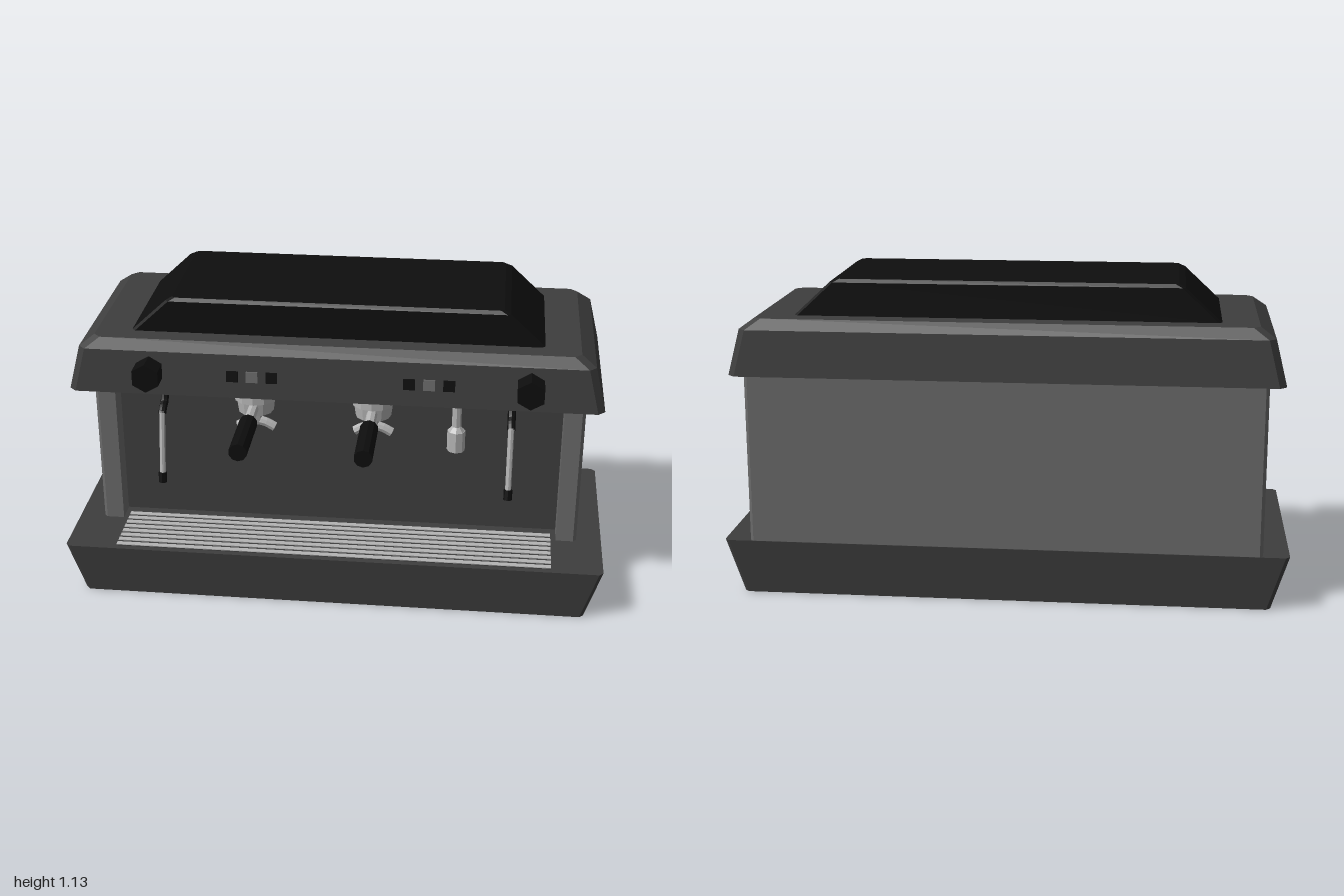
import * as THREE from 'three';

const mat = (name, color) => {
  const m = new THREE.MeshStandardMaterial({ color });
  m.name = name;
  return m;
};

export function createModel() {
  const root = new THREE.Group();
  root.name = 'espressoMachine';
  const shell = mat('darkShell', 0x3e3e3e);
  const steel = mat('bodyGrey', 0x6a6a6a);
  const black = mat('black', 0x0e0e0e);
  const chrome = mat('chrome', 0xb4b4b4);
  for (const m of [shell, steel, black, chrome]) m.flatShading = true;

  const add = (name, geo, material, x = 0, y = 0, z = 0, parent = root) => {
    const mesh = new THREE.Mesh(geo, material);
    mesh.name = name;
    mesh.position.set(x, y, z);
    parent.add(mesh);
    return mesh;
  };

  // Closed solid through chamfered rectangles [y, halfWidth, zBack, zFront]
  const loft = (levels, c) => {
    const rings = levels.map(([y, x, b, f]) => [
      [x, b + c], [x, f - c], [x - c, f], [-x + c, f],
      [-x, f - c], [-x, b + c], [-x + c, b], [x - c, b],
    ].map(([px, pz]) => [px, y, pz]));
    const pos = [];
    const tri = (...pts) => pts.forEach((p) => pos.push(...p));
    for (let l = 0; l < rings.length - 1; l++) {
      for (let i = 0; i < 8; i++) {
        const j = (i + 1) % 8, lo = rings[l], hi = rings[l + 1];
        tri(lo[i], hi[i], hi[j]);
        tri(lo[i], hi[j], lo[j]);
      }
    }
    const bottom = rings[0], top = rings[rings.length - 1];
    for (let i = 1; i < 7; i++) {
      tri(top[0], top[i + 1], top[i]);
      tri(bottom[0], bottom[i], bottom[i + 1]);
    }
    const g = new THREE.BufferGeometry();
    g.setAttribute('position', new THREE.Float32BufferAttribute(pos, 3));
    g.computeVertexNormals();
    return g;
  };

  const cyl = (rTop, rBottom, h, n) => new THREE.CylinderGeometry(rTop, rBottom, h, n);
  const rod = (r, len, n) => cyl(r, r, len, n).rotateX(Math.PI / 2);
  const tube = (pts, r, seg = 8) => new THREE.TubeGeometry(
    new THREE.CatmullRomCurve3(pts.map((p) => new THREE.Vector3(...p))), seg, r, 8);

  // Flared base, hood and lid
  add('base', loft([[0, 0.94, -0.48, 0.3], [0.2, 1, -0.502, 0.322]], 0.015), shell);
  add('hood', loft([
    [0.8, 0.965, -0.502, 0.225],
    [0.962, 0.925, -0.487, 0.21],
    [1, 0.872, -0.465, 0.185],
  ], 0.025), shell);
  add('lid', loft([
    [1, 0.745, -0.392, 0.115],
    [1.118, 0.618, -0.392, 0.115],
    [1.13, 0.595, -0.382, 0.105],
  ], 0.012), black);

  // Body: U-shaped footprint with a recessed working area
  const c = 0.012, W = 0.907, B = 0.5, F = -0.09;
  const plan = new THREE.Shape([
    [-W + c, B], [-W, B - c], [-W, F + c], [-W + c, F], [-0.83, F], [-0.83, 0],
    [0.83, 0], [0.83, F], [W - c, F], [W, F + c], [W, B - c], [W - c, B],
  ].map((p) => new THREE.Vector2(...p)));
  add('body', new THREE.ExtrudeGeometry(plan, { depth: 0.6, bevelEnabled: false })
    .rotateX(-Math.PI / 2), steel, 0, 0.2, 0);
  add('backPanel', new THREE.BoxGeometry(1.66, 0.6, 0.008), shell, 0, 0.5, 0.004);

  // Drip tray with slats
  add('dripTray', new THREE.BoxGeometry(1.62, 0.003, 0.25), shell, 0, 0.2015, 0.175);
  for (let i = 0; i < 8; i++) {
    add('dripSlat', new THREE.BoxGeometry(1.62, 0.006, 0.02), chrome, 0, 0.203, 0.062 + i * 0.0325);
  }

  // Brew groups with portafilters
  for (const x of [-0.3, 0.135]) {
    const g = new THREE.Group();
    g.name = 'brewGroup';
    g.position.set(x, 0, 0.09);
    root.add(g);
    add('groupHead', cyl(0.08, 0.08, 0.055, 12), chrome, 0, 0.7725, 0, g);
    add('filterBasket', cyl(0.072, 0.066, 0.05, 12), chrome, 0, 0.72, 0, g);
    add('spoutStem', cyl(0.022, 0.022, 0.05, 8), chrome, 0, 0.675, 0, g);
    add('spout', tube([[-0.068, 0.625, 0], [-0.035, 0.643, 0], [0, 0.65, 0],
      [0.035, 0.643, 0], [0.068, 0.625, 0]], 0.018), chrome, 0, 0, 0, g);
    add('handleNeck', rod(0.02, 0.14, 8), chrome, 0, 0.726, 0.12, g);
    add('handle', rod(0.033, 0.235, 10), black, 0, 0.726, 0.2975, g);
  }

  // Steam wands
  for (const x of [-0.645, 0.64]) {
    const g = new THREE.Group();
    g.name = 'steamWand';
    g.position.x = x;
    root.add(g);
    add('wandFeed', cyl(0.011, 0.011, 0.1, 8), chrome, 0, 0.75, 0.075, g);
    add('wandElbow', tube([[0, 0.728, 0.075], [0, 0.706, 0.088], [0, 0.695, 0.115],
      [0, 0.678, 0.138]], 0.015), black, 0, 0, 0, g);
    add('wandPipe', tube([[0, 0.69, 0.135], [0, 0.45, 0.179]], 0.011, 1), chrome, 0, 0, 0, g);
    const tip = add('wandTip', cyl(0.016, 0.016, 0.038, 8), black, 0, 0.438, 0.183, g);
    tip.rotation.x = -0.18;
  }

  // Hot water outlet
  add('waterPipe', cyl(0.017, 0.017, 0.14, 8), chrome, 0.442, 0.74, 0.125);
  add('waterNozzleNeck', cyl(0.017, 0.033, 0.02, 8), chrome, 0.442, 0.67, 0.125);
  add('waterNozzle', cyl(0.033, 0.033, 0.078, 8), chrome, 0.442, 0.623, 0.125);

  // Steam knobs
  for (const x of [-0.665, 0.7]) add('steamKnob', rod(0.054, 0.08, 6), black, x, 0.89, 0.25);

  // Button panels: two black keys around a grey display
  for (const x of [-0.292, 0.342]) {
    for (const s of [-1, 0, 1]) {
      const key = add(s ? 'button' : 'display', new THREE.BoxGeometry(0.042, 0.04, 0.009),
        s ? black : steel, x + s * 0.071, 0.882, 0.219);
      key.rotation.x = -0.09;
    }
  }
  return root;
}
